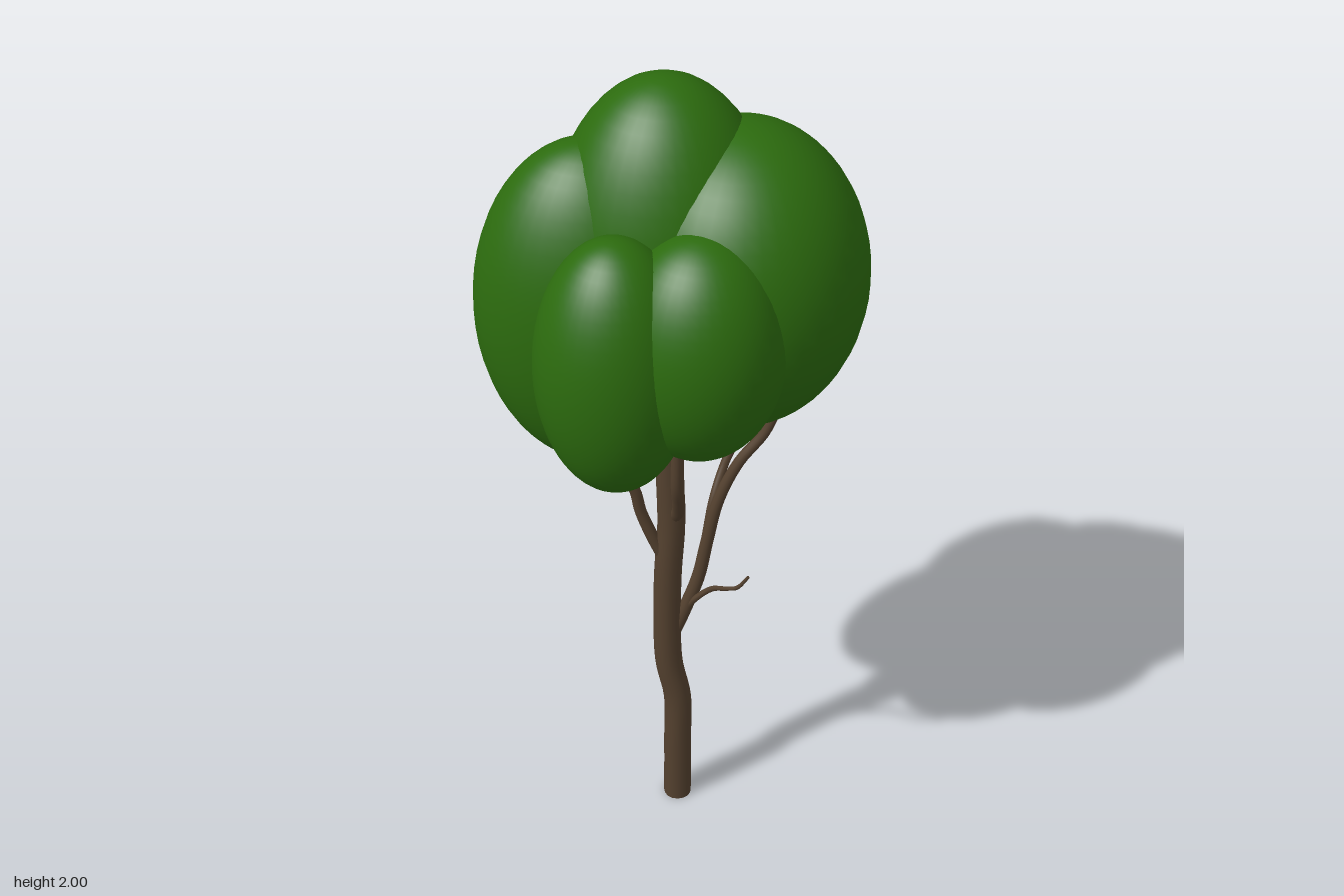
import * as THREE from 'three';

const bark = new THREE.MeshStandardMaterial({ color: 0x54412f });
const leaf = new THREE.MeshStandardMaterial({ color: 0x2c6b0e });

// Tube along a smooth curve, tapering from r0 to r1, with closed ends
function limb(name, points, r0, r1, sides = 12, steps = 40) {
  const group = new THREE.Group();
  group.name = name;
  const curve = new THREE.CatmullRomCurve3(points.map(p => new THREE.Vector3(...p)));
  const geo = new THREE.TubeGeometry(curve, steps, 1, sides);
  const pos = geo.attributes.position;
  const v = new THREE.Vector3();
  for (let i = 0; i <= steps; i++) {
    const centre = curve.getPointAt(i / steps);
    const r = THREE.MathUtils.lerp(r0, r1, i / steps);
    for (let j = 0; j <= sides; j++) {
      const k = i * (sides + 1) + j;
      v.fromBufferAttribute(pos, k).sub(centre).multiplyScalar(r).add(centre);
      pos.setXYZ(k, v.x, v.y, v.z);
    }
  }
  group.add(new THREE.Mesh(geo, bark));
  // End caps facing outwards
  for (const [t, r, dir] of [[0, r0, -1], [1, r1, 1]]) {
    const cap = new THREE.Mesh(new THREE.CircleGeometry(r, sides), bark);
    cap.position.copy(curve.getPointAt(t));
    cap.quaternion.setFromUnitVectors(new THREE.Vector3(0, 0, 1), curve.getTangentAt(t).multiplyScalar(dir));
    group.add(cap);
  }
  return group;
}

// Ellipsoid clump of leaves
function clump(name, centre, radii) {
  const mesh = new THREE.Mesh(new THREE.SphereGeometry(1, 40, 28), leaf);
  mesh.name = name;
  mesh.position.set(...centre);
  mesh.scale.set(...radii);
  return mesh;
}

export function createModel() {
  const tree = new THREE.Group();
  tree.name = 'tree';

  // Trunk with a gentle bend
  tree.add(limb('trunk', [
    [0.017, 0, -0.003], [0.017, 0.18, -0.003], [0.016, 0.33, -0.003], [-0.004, 0.44, -0.003],
    [-0.009, 0.55, -0.003], [-0.007, 0.72, -0.003], [0.001, 0.87, -0.003], [-0.002, 1.02, -0.003],
    [-0.002, 1.25, -0.003],
  ], 0.034, 0.032, 16, 64));

  // Branches
  tree.add(limb('leftBranch', [
    [-0.01, 0.76, 0], [-0.045, 0.84, 0], [-0.07, 0.91, 0], [-0.085, 0.98, 0.005],
    [-0.125, 1.04, 0.01], [-0.18, 1.09, 0.01], [-0.21, 1.16, 0.01],
  ], 0.016, 0.011));
  tree.add(limb('rightBranch', [
    [0, 0.52, -0.005], [0.03, 0.6, -0.005], [0.065, 0.71, -0.005], [0.085, 0.82, -0.005],
    [0.11, 0.94, -0.005], [0.155, 1.05, -0.005], [0.215, 1.14, -0.005], [0.25, 1.24, -0.005],
  ], 0.018, 0.011));
  tree.add(limb('backBranch', [
    [0.07, 0.72, -0.01], [0.085, 0.81, -0.045], [0.1, 0.9, -0.065], [0.125, 0.98, -0.095],
    [0.16, 1.07, -0.11], [0.165, 1.2, -0.11],
  ], 0.012, 0.009));
  tree.add(limb('frontBranch', [
    [0.005, 0.89, 0], [0.018, 0.94, 0.035], [0.018, 0.99, 0.065], [0.015, 1.05, 0.09],
    [0.015, 1.2, 0.1],
  ], 0.016, 0.013));
  tree.add(limb('twig', [
    [0.03, 0.6, -0.005], [0.055, 0.65, 0.01], [0.095, 0.7, 0.03], [0.13, 0.74, 0.075],
    [0.155, 0.76, 0.095], [0.18, 0.8, 0.105],
  ], 0.009, 0.004, 8));

  // Crown
  tree.add(clump('topCrown', [-0.015, 1.545, -0.05], [0.26, 0.455, 0.245]));
  tree.add(clump('leftwardCrown', [0.15, 1.55, -0.02], [0.28, 0.355, 0.283]));
  tree.add(clump('rightwardCrown', [-0.17, 1.47, -0.02], [0.26, 0.4, 0.198]));
  tree.add(clump('frontRightCrown', [-0.115, 1.453, 0.2], [0.175, 0.308, 0.168]));
  tree.add(clump('frontLeftCrown', [0.062, 1.497, 0.19], [0.188, 0.268, 0.176]));
  tree.add(clump('backCrown', [-0.08, 1.505, -0.2], [0.172, 0.27, 0.168]));
  return tree;
}
